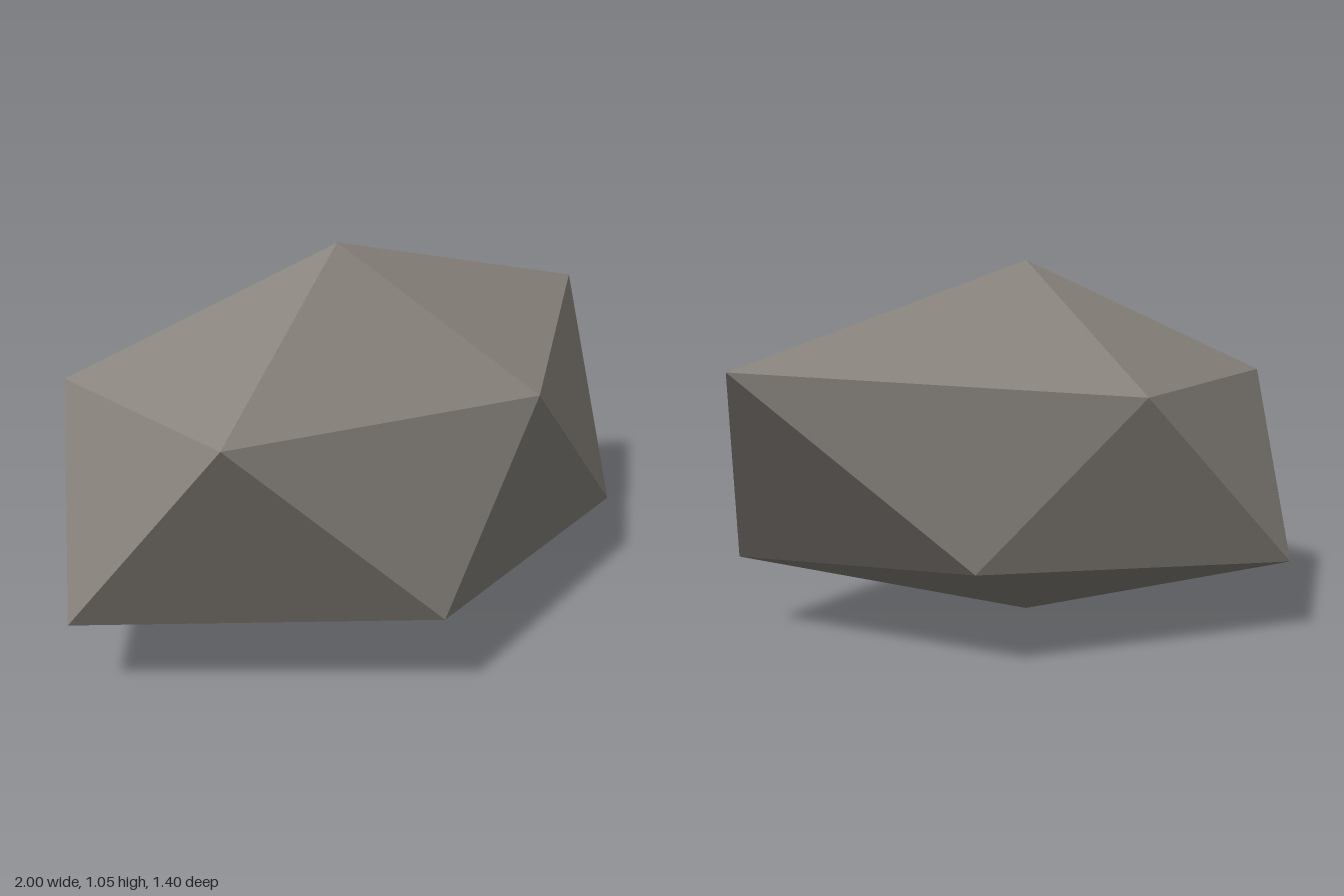
import * as THREE from 'three';

// Faceted boulder: two poles joined by two staggered five-point rings.
export function createModel() {
  const group = new THREE.Group();
  group.name = 'boulder';

  const stone = new THREE.MeshStandardMaterial({ color: 0x8a857e });
  stone.name = 'stone grey';
  stone.flatShading = true;

  const top = [-0.07, 1.05, 0.035];
  const bottom = [-0.07, 0, 0.035];
  const upper = [
    [1, 0.793, 0.035], [0.14, 0.69, 0.595], [-0.89, 0.777, 0.53],
    [-0.72, 0.71, -0.355], [0.165, 0.71, -0.59],
  ];
  const lower = [
    [0.655, 0.217, 0.48], [-0.335, 0.237, 0.7], [-1, 0.212, 0.035],
    [-0.365, 0.21, -0.7], [0.52, 0.27, -0.32],
  ];

  // Cap, side band and base triangles, one sector at a time
  const corners = [];
  for (let i = 0; i < 5; i++) {
    const j = (i + 1) % 5;
    corners.push(
      top, upper[j], upper[i],
      upper[i], upper[j], lower[i],
      lower[i], upper[j], lower[j],
      bottom, lower[i], lower[j],
    );
  }

  const geometry = new THREE.BufferGeometry();
  geometry.setAttribute('position', new THREE.Float32BufferAttribute(corners.flat(), 3));
  geometry.computeVertexNormals();

  const rock = new THREE.Mesh(geometry, stone);
  rock.name = 'rock';
  group.add(rock);
  return group;
}
